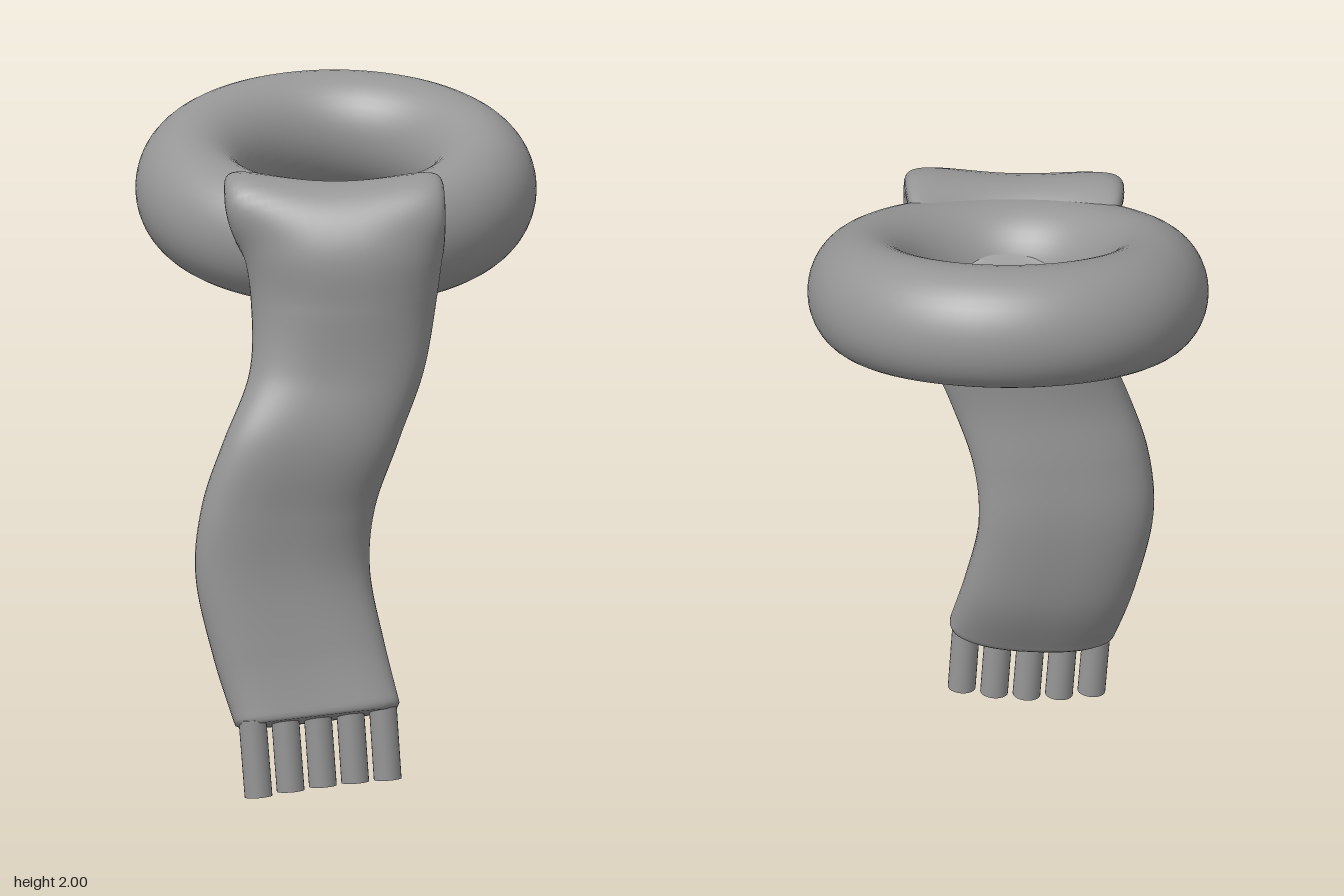
import * as THREE from 'three';

const material = new THREE.MeshStandardMaterial({ color: 0x969696, side: THREE.DoubleSide });

// Cross-sections of the hanging end, from its hem up and over the loop:
// centre x, y, z, half width, half thickness, yaw, roll, lift of the side edges
const SECTIONS = [
  [-0.07, 0.245, 0.552, 0.245, 0.088, -0.1, 0.1, 0.015],
  [-0.12, 0.42, 0.505, 0.252, 0.112, -0.14, 0.08, 0.01],
  [-0.168, 0.65, 0.487, 0.258, 0.118, -0.16, 0.02, 0],
  [-0.152, 0.85, 0.497, 0.258, 0.118, -0.14, 0, 0],
  [-0.085, 1.05, 0.513, 0.26, 0.12, -0.08, 0, 0],
  [-0.01, 1.25, 0.494, 0.257, 0.116, 0, 0, -0.015],
  [0.012, 1.45, 0.483, 0.273, 0.135, 0.05, 0, -0.045],
  [0.008, 1.61, 0.502, 0.298, 0.12, 0.07, 0, -0.05],
  [-0.015, 1.702, 0.44, 0.325, 0.11, 0.05, 0, 0.07],
  [-0.015, 1.655, 0.33, 0.295, 0.095, 0.03, 0, 0.12],
  [-0.01, 1.595, 0.2, 0.235, 0.085, 0, 0, 0.03],
  [-0.01, 1.58, 0.11, 0.19, 0.075, 0, 0, 0],
];

// Catmull-Rom blend of all section values
function sectionAt(t) {
  const last = SECTIONS.length - 1;
  const f = t * last;
  const i = Math.min(Math.floor(f), last - 1);
  const k = f - i;
  const at = (n) => SECTIONS[Math.max(0, Math.min(last, n))];
  return SECTIONS[i].map((b, c) => {
    const a = at(i - 1)[c], d = at(i + 1)[c], e = at(i + 2)[c];
    return b + 0.5 * k * (d - a + k * (2 * a - 5 * b + 4 * d - e + k * (3 * (b - d) + e - a)));
  });
}

function hangingEndGeometry() {
  const sides = 56, steps = 110;
  const rows = [];
  // each row: path position, section scale, push along the path
  rows.push([0, 0, -0.02], [0, 0.5, -0.02], [0, 0.92, -0.02], [0, 0.98, -0.012]);
  for (let i = 0; i <= steps; i++) rows.push([i / steps, 1, 0]);
  for (let i = 1; i <= 8; i++) {
    const a = (i / 8) * Math.PI / 2;
    rows.push([1, Math.cos(a), 0.05 * Math.sin(a)]);
  }
  const power = (v) => Math.sign(v) * Math.abs(v) ** 0.75;
  const positions = [], index = [];
  rows.forEach(([t, scale, push], r) => {
    const [x, y, z, hw, ht, yaw, roll, lift] = sectionAt(t);
    const p = sectionAt(Math.max(0, t - 0.004)), q = sectionAt(Math.min(1, t + 0.004));
    const len = Math.hypot(q[1] - p[1], q[2] - p[2]);
    const ty = (q[1] - p[1]) / len, tz = (q[2] - p[2]) / len;
    for (let j = 0; j < sides; j++) {
      const a = (j / sides) * Math.PI * 2;
      const u = power(Math.cos(a)) * scale, v = power(Math.sin(a)) * scale;
      const n = v * ht + lift * u * u;
      positions.push(
        x + u * hw,
        y + u * hw * roll - n * tz + push * ty,
        z + u * hw * yaw + n * ty + push * tz,
      );
      if (r < rows.length - 1) {
        const b = r * sides + j, c = r * sides + (j + 1) % sides;
        index.push(b, b + sides, c, c, b + sides, c + sides);
      }
    }
  });
  const geometry = new THREE.BufferGeometry();
  geometry.setAttribute('position', new THREE.Float32BufferAttribute(positions, 3));
  geometry.setIndex(index);
  geometry.computeVertexNormals();
  return geometry;
}

export function createModel() {
  const group = new THREE.Group();
  const add = (name, geometry) => {
    const mesh = new THREE.Mesh(geometry, material);
    mesh.name = name;
    group.add(mesh);
    return mesh;
  };

  // Padded neck loop, slightly taller than wide in section, tilted up towards the back
  const loop = new THREE.TorusGeometry(0.429, 0.163, 40, 96);
  loop.rotateX(Math.PI / 2);
  loop.scale(1, 1.12, 1);
  loop.rotateX(0.25);
  add('neckLoop', loop).position.set(0, 1.713, -0.076);

  // Scarf end folded over the loop
  add('hangingEnd', hangingEndGeometry());

  // Curved row of tassels along the hem
  const tassels = new THREE.Group();
  tassels.name = 'tassels';
  group.add(tassels);
  for (let i = 0; i < 5; i++) {
    const k = i / 4;
    const z = 0.612 - 0.19 * k + 0.133 * k * k;
    const top = new THREE.Vector3(-0.26 + 0.385 * k, 0.235 + 0.04 * k, z - 0.004);
    const bottom = new THREE.Vector3(-0.242 + 0.382 * k, 0.005 + 0.042 * k, z);
    const tassel = add('tassel', new THREE.CylinderGeometry(0.041, 0.041, top.distanceTo(bottom), 24));
    tassel.position.copy(top).add(bottom).multiplyScalar(0.5);
    tassel.quaternion.setFromUnitVectors(new THREE.Vector3(0, 1, 0), top.clone().sub(bottom).normalize());
    tassels.add(tassel);
  }
  return group;
}
